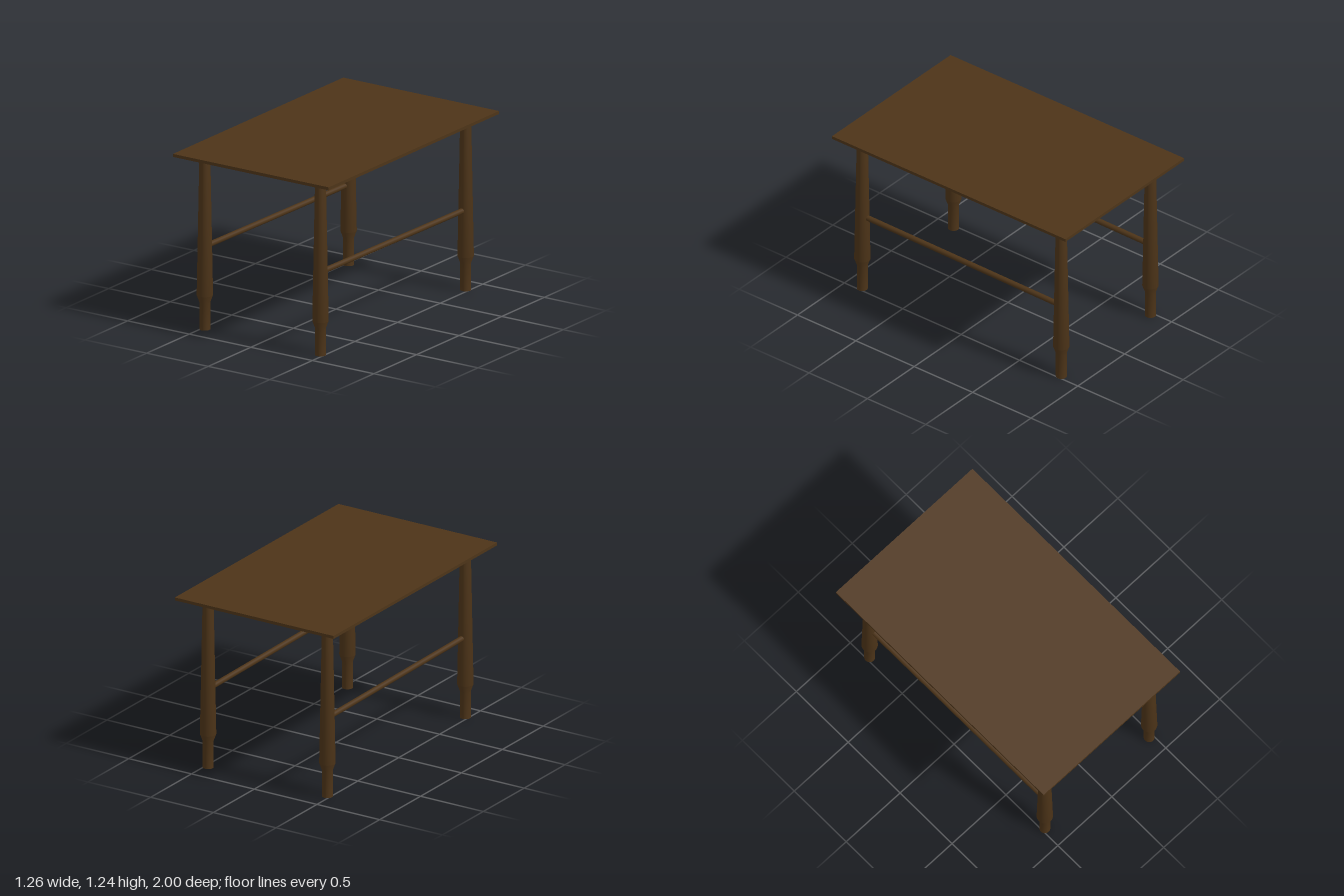
import * as THREE from 'three';
import { toCreasedNormals } from 'three/addons/utils/BufferGeometryUtils.js';

export function createModel() {
  const table = new THREE.Group();
  table.name = 'table';
  const wood = new THREE.MeshStandardMaterial({ color: 0x4d3418 });

  const add = (name, geometry, x, y, z) => {
    const mesh = new THREE.Mesh(geometry, wood);
    mesh.name = name;
    mesh.position.set(x, y, z);
    table.add(mesh);
    return mesh;
  };

  // Thin board floating just above the legs
  add('tabletop', new THREE.BoxGeometry(1.265, 0.021, 2), 0, 1.2305, 0);

  // Turned leg: narrow foot, flared shoulder, long taper to the top
  const profile = [
    [0, 0], [0.037, 0], [0.037, 0.19], [0.055, 0.24], [0.037, 1.203], [0, 1.203],
  ].map(([r, y]) => new THREE.Vector2(r, y));
  const legGeometry = toCreasedNormals(new THREE.LatheGeometry(profile, 32), 0.4);

  for (const [side, x, frontZ] of [['left', 0.474, 0.867], ['right', -0.477, 0.85]]) {
    const backZ = -0.837;
    add(`${side}FrontLeg`, legGeometry, x, 0, frontZ);
    add(`${side}BackLeg`, legGeometry, x, 0, backZ);

    // Side stretcher, dropping slightly toward the back
    const front = new THREE.Vector3(x, 0.58, frontZ - 0.03);
    const back = new THREE.Vector3(x, 0.564, backZ + 0.03);
    const span = front.clone().sub(back);
    const mid = front.clone().add(back).multiplyScalar(0.5);
    const rod = add(`${side}Stretcher`, new THREE.CylinderGeometry(0.019, 0.019, span.length(), 20), mid.x, mid.y, mid.z);
    rod.quaternion.setFromUnitVectors(new THREE.Vector3(0, 1, 0), span.normalize());
  }
  return table;
}
